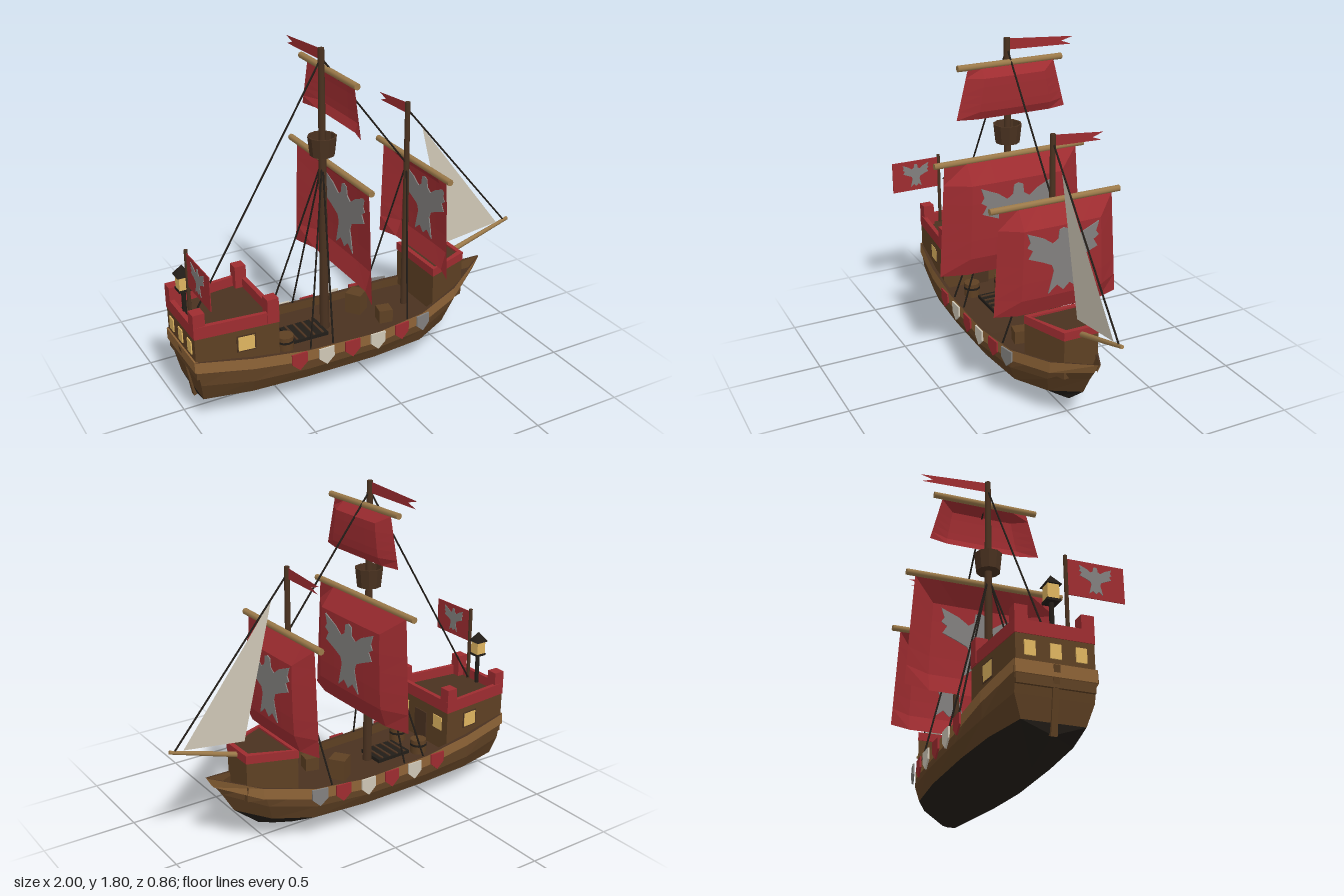
import * as THREE from 'three';

const V = (x, y, z = 0) => new THREE.Vector3(x, y, z);
const mat = (name, color) => {
  const m = new THREE.MeshStandardMaterial({ color, side: THREE.DoubleSide });
  m.name = name;
  return m;
};

export function createModel() {
  const hullWood = mat('hull wood', 0x5e4023), trim = mat('trim wood', 0x8c6236);
  const spar = mat('spar wood', 0x9c7a4a), darkWood = mat('dark wood', 0x4a3220);
  const tar = mat('tar and rope', 0x221d18), red = mat('red cloth and paint', 0x9e2c30);
  const cream = mat('cream canvas', 0xcfc7b6), grey = mat('grey emblem', 0x82807e);
  const glass = mat('lit glass', 0xdfb560);

  const ship = new THREE.Group();
  ship.name = 'sailingShip';
  const add = (name, geo, material, x = 0, y = 0, z = 0, ry = 0) => {
    const m = new THREE.Mesh(geo, material);
    m.name = name;
    m.position.set(x, y, z);
    m.rotation.y = ry;
    ship.add(m);
    return m;
  };
  const box = (name, material, w, h, d, x, y, z, ry) =>
    add(name, new THREE.BoxGeometry(w, h, d), material, x, y, z, ry);
  // Tapered round bar between two points
  const rod = (name, material, a, b, ra, rb = ra, sides = 8) => {
    const dir = b.clone().sub(a);
    const m = add(name, new THREE.CylinderGeometry(rb, ra, dir.length(), sides), material);
    m.position.copy(a).add(b).multiplyScalar(0.5);
    m.quaternion.setFromUnitVectors(V(0, 1, 0), dir.normalize());
    return m;
  };
  // Flat-faced surface from a list of quads
  const quads = (list) => {
    const g = new THREE.BufferGeometry().setFromPoints(
      list.flatMap(([a, b, c, d]) => [a, b, c, a, c, d]));
    g.computeVertexNormals();
    return g;
  };
  const flip = (p) => V(p.x, p.y, -p.z);
  const band = (a, b) => a.slice(1).map((p, i) => [a[i], p, b[i + 1], b[i]]);
  const bothSides = (a, b) => quads([...band(a, b), ...band(b.map(flip), a.map(flip))]);
  const shapeOf = (pts) => new THREE.Shape(pts.map(([x, y]) => new THREE.Vector2(x, y)));
  const extrude = (shape, depth) => new THREE.ExtrudeGeometry(shape, { depth, bevelEnabled: false });

  // Hull rows, stern to bow
  const keel = [V(-.93, .085), V(-.7, .02), V(-.4, .006), V(0, 0), V(.315, .02), V(.43, .052), V(.52, .085)];
  const chine = [V(-.945, .135, .15), V(-.7, .133, .2), V(-.4, .133, .22), V(0, .133, .225),
    V(.3, .135, .2), V(.5, .15, .11), V(.66, .2)];
  const side = [V(-.965, .24, .185), V(-.7, .21, .232), V(-.4, .2, .252), V(0, .2, .253),
    V(.3, .21, .225), V(.53, .24, .132), V(.725, .31)];
  const rail = [V(-.99, .385, .188), V(-.7, .345, .23), V(-.4, .308, .243), V(0, .292, .243),
    V(.3, .31, .215), V(.56, .352, .13), V(.81, .43)];
  add('hullBottom', bothSides(keel, chine), tar);
  add('hullLowerSides', bothSides(chine, side), hullWood);
  add('hullUpperSides', bothSides(side, rail), hullWood);
  add('transomBottom', quads([[keel[0], chine[0], flip(chine[0]), keel[0]]]), tar);
  add('transom', quads([[flip(chine[0]), chine[0], side[0], flip(side[0])],
    [flip(side[0]), side[0], rail[0], flip(rail[0])]]), hullWood);
  const deckEdge = side.map((p, i) => p.clone().lerp(rail[i], .5));
  add('deck', quads(band(deckEdge, deckEdge.map(flip))), darkWood);

  // Pale rail that follows the sheer
  const railRow = (dy, dz) => rail.map((p) => V(p.x, p.y + dy, Math.max(0, p.z + dz)));
  const outLow = railRow(-.06, .008), outTop = railRow(0, .006), inTop = railRow(0, -.014), inLow = railRow(-.06, -.012);
  outLow[6].x -= .035;
  inLow[6].x -= .045;
  add('railOuter', bothSides(outLow, outTop), trim);
  add('railCap', bothSides(outTop, inTop), darkWood);
  add('railInner', bothSides(inTop, inLow), hullWood);
  box('sternRail', trim, .016, .06, .38, -.986, .355, 0);
  add('rudder', extrude(shapeOf([[-1, .38], [-.965, .38], [-.92, .085], [-.945, .075]]), .03), hullWood, 0, 0, -.015);

  // Castles: tapered plan, painted parapet around an open deck
  const plan = (x0, x1, h0, h1) => [[x0, -h0], [x1, -h1], [x1, h1], [x0, h0]];
  const castle = (name, x0, x1, h0, h1, y0, yRed, yTop, deckY) => {
    const up = (shape, h) => extrude(shape, h).rotateX(-Math.PI / 2);
    add(name + 'Walls', up(shapeOf(plan(x0, x1, h0, h1)), yRed - y0), hullWood, 0, y0);
    const ring = shapeOf(plan(x0 - .003, x1 + .003, h0 + .003, h1 + .003));
    ring.holes.push(shapeOf(plan(x0 + .022, x1 - .022, h0 - .02, h1 - .02)));
    add(name + 'Parapet', up(ring, yTop - yRed), red, 0, yRed);
    add(name + 'Deck', up(shapeOf(plan(x0 + .02, x1 - .02, h0 - .018, h1 - .018)), deckY - yRed), darkWood, 0, yRed);
  };
  castle('sternCastle', -.985, -.553, .185, .226, .28, .51, .575, .522);
  castle('foreCastle', .385, .632, .185, .095, .28, .495, .54, .53);

  for (const s of [1, -1]) {
    box('rearMerlon', red, .062, .13, .062, -.957, .58, s * .157);
    box('frontMerlon', red, .062, .13, .062, -.582, .58, s * .197);
    box('sideWindowFrame', darkWood, .1, .092, .006, -.725, .433, s * .21, -s * .094);
    box('sideWindow', glass, .085, .078, .009, -.725, .433, s * .2105, -s * .094);
    box('frontWindow', glass, .008, .075, .07, -.552, .43, s * .145);
  }
  for (const z of [-.12, 0, .12]) box('sternWindow', glass, .008, .07, .052, -.987, .445, z);
  box('castleDoor', darkWood, .008, .18, .1, -.551, .36, 0);

  // Shields along both rails
  const shield = shapeOf([[-.043, .045], [.043, .045], [.043, -.012], [0, -.052], [-.043, -.012]]);
  const shieldX = [-.46, -.305, -.153, 0, .152, .29];
  const shieldPaint = [red, cream, red, cream, red, grey];
  const shieldY = [.27, .258, .256, .255, .262, .27];
  shieldX.forEach((x, i) => {
    const z = i === 5 ? .24 : i === 4 ? .251 : .262;
    const turn = i > 3 ? .1 * (i - 3) : 0;
    for (const s of [1, -1]) add('shield', extrude(shield, .009).translate(0, 0, -.0045), shieldPaint[i], x, shieldY[i], s * z, s * turn);
  });

  // Masts, crow's nest, yards and bowsprit
  rod('mainMast', darkWood, V(-.18, .22), V(-.18, 1.8), .026, .016, 10);
  rod('foreMast', darkWood, V(.317, .24), V(.317, 1.44), .019, .014, 10);
  const nest = [[0, 0], [.064, 0], [.075, .1], [.066, .1], [.058, .02], [0, .02]];
  add('crowsNest', new THREE.LatheGeometry(nest.map(([r, y]) => new THREE.Vector2(r, y)), 10).toNonIndexed(),
    darkWood, -.18, 1.25).geometry.computeVertexNormals();
  rod('bowsprit', spar, V(.56, .488), V(1, .625), .016, .01);
  const yard = (name, x, y, h) => rod(name, spar, V(x, y, -h), V(x, y, h), .017, .017);
  yard('mainYard', -.143, 1.192, .43);
  yard('foreYard', .355, 1.115, .357);
  yard('topYard', -.143, 1.682, .29);

  // Billowing square sails
  const across = [0, .96, 1, 1, 1, .96, 0], down = [0, .96, 1, 1, 1, .96, .55];
  const sail = (name, x, yTop, yBot, hTop, hBot, belly) => {
    const rows = down.map((d, r) => across.map((a, c) => V(x + belly * a * d,
      THREE.MathUtils.lerp(yTop, yBot, r / 6), (1 - c / 3) * THREE.MathUtils.lerp(hTop, hBot, r / 6))));
    add(name, quads(rows.slice(1).flatMap((row, i) => band(row, rows[i]))), red);
  };
  sail('mainSail', -.132, 1.185, .58, .38, .42, .08);
  sail('foreSail', .363, 1.105, .555, .31, .345, .075);
  sail('topSail', -.132, 1.672, 1.42, .24, .305, .047);

  // Winged emblem, mirrored from one half
  const half = [[.12, .83], [.15, .6], [.3, .5], [.55, .68], [1, .87], [.92, .62], [1, .5], [.85, .4],
    [.97, .2], [.6, .05], [.33, -.08], [.27, -.25], [.42, -.85], [.18, -.65]];
  const emblem = (size, x, y, z) => {
    const pts = [[0, .88], ...half, [0, -.82], ...half.map(([a, b]) => [-a, b]).reverse()];
    const shape = shapeOf(pts.map(([a, b]) => [a * size, b * size]));
    add('emblem', extrude(shape, .0095).translate(0, 0, -.00475), grey, x, y, z, Math.PI / 2);
  };
  emblem(.212, -.0535, .88, 0);
  emblem(.196, .4365, .83, 0);

  // Jib, pennants and stern flag
  add('jib', new THREE.ShapeGeometry(shapeOf([[.41, 1.285], [.585, .57], [.925, .615]])), cream);
  const pennant = (pts, x) => add('pennant', new THREE.ShapeGeometry(shapeOf(pts)), red, x, 0, 0, Math.PI / 2);
  pennant([[.01, 1.795], [.38, 1.768], [.31, 1.75], [.37, 1.728], [.01, 1.738]], -.18);
  pennant([[.01, 1.435], [.28, 1.41], [.22, 1.39], [.27, 1.37], [.01, 1.378]], .317);
  rod('flagPole', darkWood, V(-.957, .52, .075), V(-.957, .945, .075), .01);
  box('sternFlag', red, .004, .18, .285, -.957, .84, .22);
  emblem(.08, -.957, .84, .22);

  // Stern lantern
  rod('lanternPost', tar, V(-.957, .52), V(-.957, .7), .012);
  box('lanternGlass', glass, .056, .075, .056, -.957, .738, 0);
  box('lanternBase', tar, .064, .012, .064, -.957, .698, 0);
  add('lanternRoof', new THREE.ConeGeometry(.054, .055, 4).rotateY(Math.PI / 4), tar, -.957, .803);

  // Rigging
  const rope = (a, b) => rod('rope', tar, a, b, .005, .005, 5);
  rope(V(-.18, 1.75), V(-.89, .57));
  rope(V(-.18, 1.75), V(.317, 1.1));
  rope(V(.317, 1.4), V(.975, .618));
  for (const s of [1, -1]) {
    for (const x of [-.385, -.255]) rope(V(-.18, 1.22), V(x, .3, s * .237));
    rope(V(.317, 1.1), V(.203, .3, s * .222));
  }

  // Deck cargo
  box('hatch', tar, .21, .025, .16, -.305, .258, 0);
  for (let i = 0; i < 4; i++) box('hatchSlat', darkWood, .012, .008, .15, -.38 + i * .05, .272, 0);
  box('largeCrate', hullWood, .09, .12, .09, .06, .305, -.08, .6);
  box('smallCrate', hullWood, .075, .08, .075, .138, .285, .088, -.2);
  for (const s of [1, -1]) {
    rod('barrel', hullWood, V(-.46, .25, s * .095), V(-.46, .335, s * .095), .045, .045, 10);
    rod('barrelHoop', tar, V(-.46, .3, s * .095), V(-.46, .312, s * .095), .047, .047, 10);
  }
  return ship;
}
